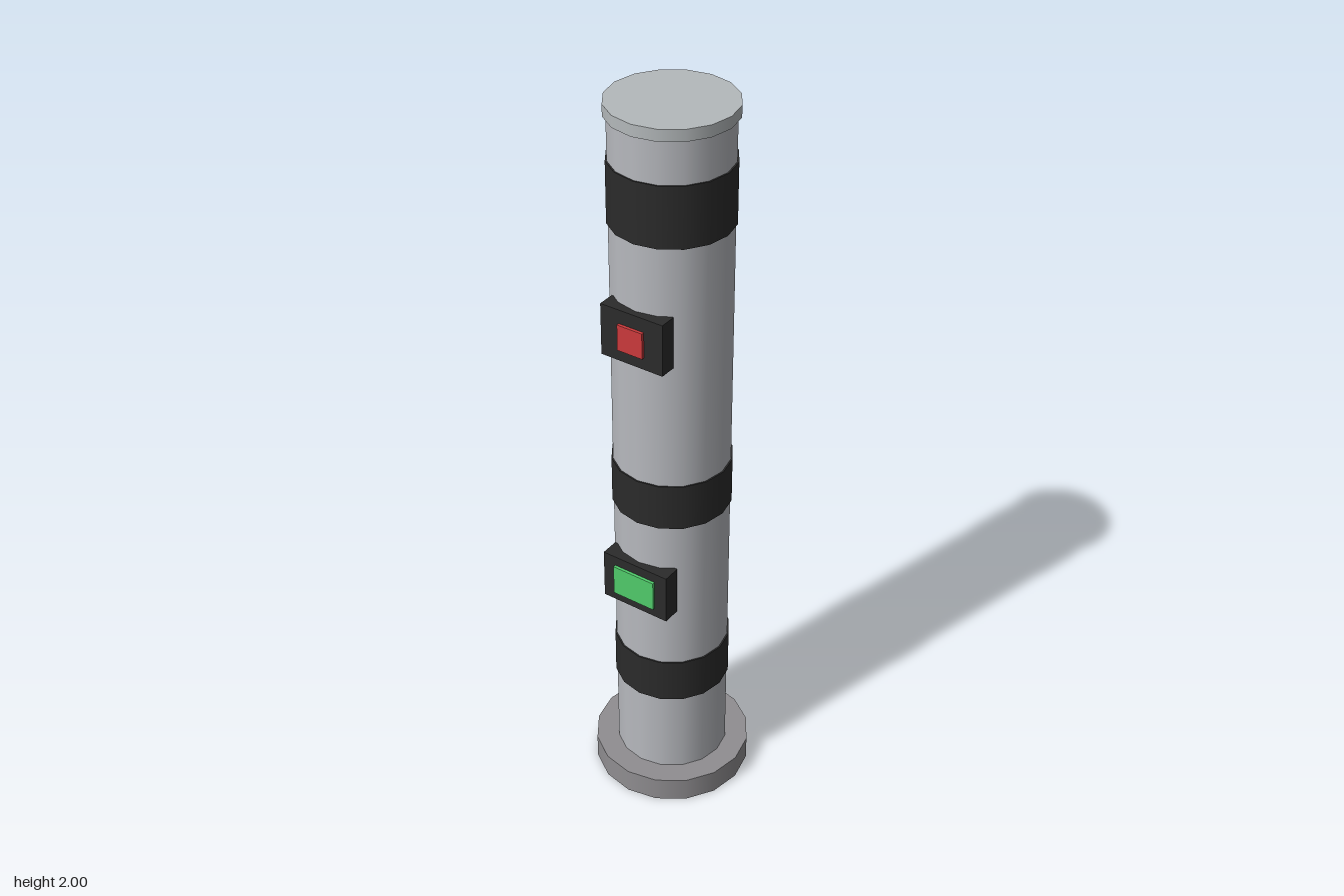
import * as THREE from 'three';

const material = (name, color) => {
  const m = new THREE.MeshStandardMaterial({ color });
  m.name = name;
  return m;
};

export function createModel() {
  const group = new THREE.Group();
  group.name = 'bollard';
  const paleGrey = material('paleGrey', 0xb7b9be);
  const capGrey = material('capGrey', 0xb4b9bb);
  const baseGrey = material('baseGrey', 0x908e91);
  const black = material('black', 0x2b2b2b);
  const red = material('red', 0xcc3a3c);
  const green = material('green', 0x50cc6b);

  const add = (name, geometry, mat) => {
    const mesh = new THREE.Mesh(geometry, mat);
    mesh.name = name;
    group.add(mesh);
    return mesh;
  };

  // Sixteen-sided disc or column between two heights
  const column = (name, radius, y0, y1, mat) => {
    add(name, new THREE.CylinderGeometry(radius, radius, y1 - y0, 16), mat)
      .position.y = (y0 + y1) / 2;
  };

  // Box given by half width, heights and depth range
  const block = (name, halfWidth, y0, y1, z0, z1, mat) => {
    add(name, new THREE.BoxGeometry(halfWidth * 2, y1 - y0, z1 - z0), mat)
      .position.set(0, (y0 + y1) / 2, (z0 + z1) / 2);
  };

  // Post
  column('base', 0.214, 0, 0.07, baseGrey);
  column('post', 0.152, 0.07, 1.97, paleGrey);
  column('cap', 0.16, 1.97, 2, capGrey);

  // Dark bands
  [[0.32, 0.45], [0.9, 1.03], [1.7, 1.86]].forEach(([y0, y1], i) =>
    column(`band${i + 1}`, 0.156, y0, y1, black));

  // Front panels
  block('upperHousing', 0.089, 1.38, 1.52, 0.123, 0.169, black);
  block('redLight', 0.036, 1.413, 1.483, 0.168, 0.177, red);
  block('lowerHousing', 0.098, 0.63, 0.77, 0.119, 0.169, black);
  block('greenScreen', 0.062, 0.657, 0.743, 0.168, 0.177, green);

  // Back reader
  block('readerHousing', 0.053, 1.083, 1.243, -0.161, -0.14, black);
  block('readerScreen', 0.04, 1.18, 1.222, -0.168, -0.16, green);

  return group;
}
